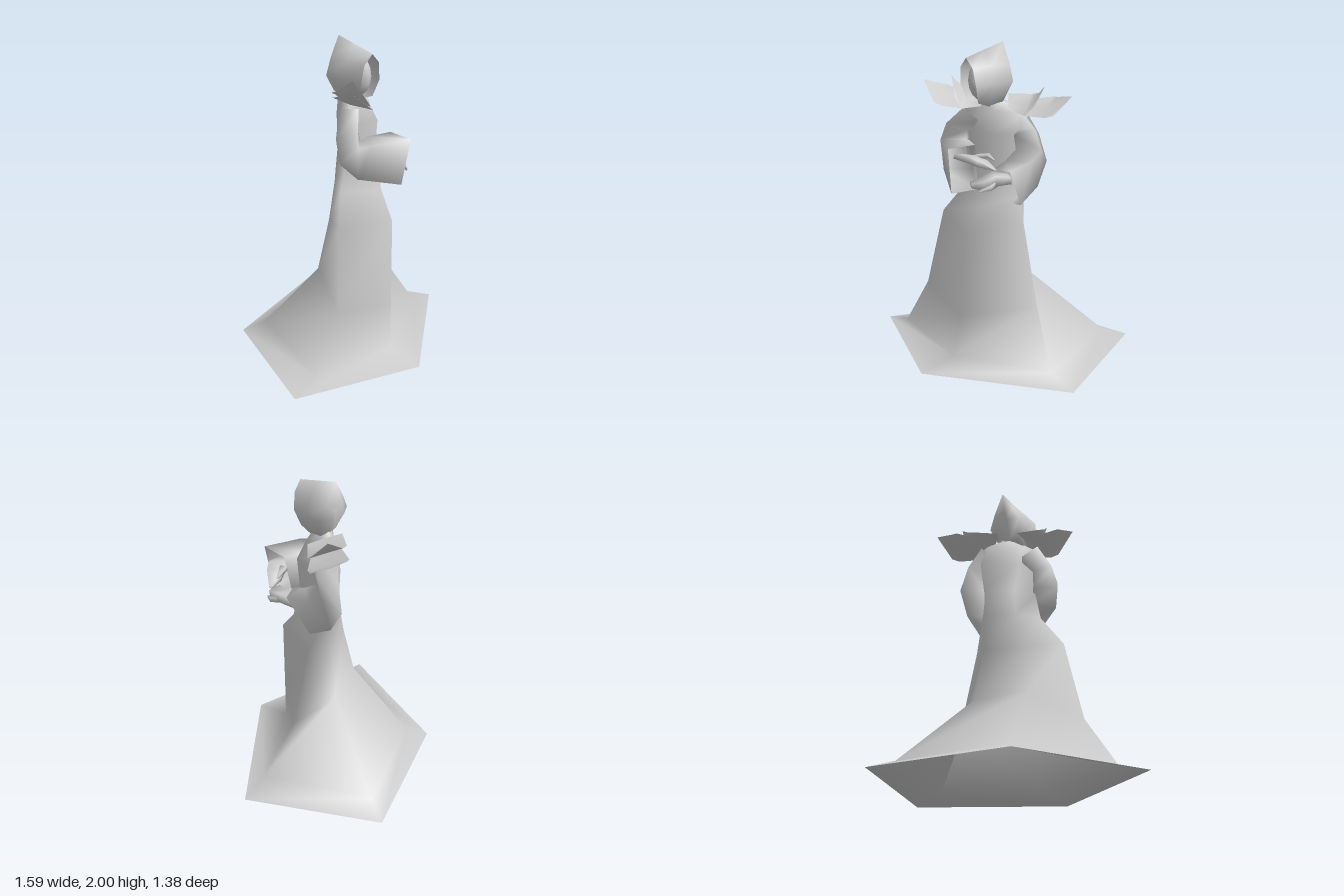
import * as THREE from 'three';

const material = new THREE.MeshStandardMaterial({ color: 0xcccccc, side: THREE.DoubleSide });

// Smooth skin over rings that all hold the same number of [x, y, z] points
function loft(name, rings, { closed = true, capEnd = false } = {}) {
  const n = rings[0].length, pos = rings.flat(2), index = [];
  for (let r = 0; r < rings.length - 1; r++) {
    for (let i = 0; i < (closed ? n : n - 1); i++) {
      const j = (i + 1) % n, a = r * n + i, b = r * n + j;
      index.push(a, b, a + n, b, b + n, a + n);
    }
  }
  if (capEnd) {
    const base = (rings.length - 1) * n;
    for (let i = 1; i < n - 1; i++) index.push(base, base + i, base + i + 1);
  }
  const g = new THREE.BufferGeometry();
  g.setAttribute('position', new THREE.Float32BufferAttribute(pos, 3));
  g.setIndex(index);
  g.computeVertexNormals();
  const mesh = new THREE.Mesh(g, material);
  mesh.name = name;
  return mesh;
}

// Four-cornered ring: centre c, half-axes u (outer side) and v (front or top side)
const quadRing = (c, u, v) => [[1, 1], [-1, 1], [-1, -1], [1, -1]]
  .map(([s, t]) => c.map((k, i) => k + s * u[i] + t * v[i]));

// Five-cornered gown, hem to neck: right, back right, back left, left, front
function gown() {
  return loft('gown', [
    [[-0.80, 0.015, 0.42], [-0.47, 0.015, -0.43], [0.40, 0.015, -0.69], [0.79, 0.015, 0.12], [0.01, 0, 0.69]],
    [[-0.60, 0.07, 0.40], [-0.36, 0.08, -0.33], [0.31, 0.07, -0.54], [0.59, 0.07, 0.13], [0.01, 0.05, 0.45]],
    [[-0.38, 0.41, 0.37], [-0.21, 0.53, 0.02], [0.12, 0.53, -0.08], [0.37, 0.41, 0.06], [0.05, 0.33, 0.41]],
    [[-0.30, 0.91, 0.29], [-0.15, 0.86, 0.06], [0.08, 0.86, -0.04], [0.22, 0.91, 0.05], [0.07, 0.88, 0.39]],
    [[-0.19, 1.09, 0.20], [-0.10, 1.10, 0.06], [0.05, 1.10, -0.08], [0.14, 1.06, 0.01], [0.11, 1.04, 0.26]],
    [[-0.15, 1.27, 0.20], [-0.08, 1.27, 0.07], [0.05, 1.27, -0.06], [0.14, 1.25, -0.02], [0.11, 1.26, 0.20]],
    [[-0.16, 1.50, 0.22], [-0.11, 1.48, 0.09], [0.06, 1.48, -0.08], [0.16, 1.47, -0.04], [0.12, 1.48, 0.21]],
    [[-0.14, 1.61, 0.22], [-0.11, 1.60, 0.12], [0.04, 1.59, -0.05], [0.14, 1.58, -0.03], [0.07, 1.61, 0.17]],
    [[-0.07, 1.66, 0.15], [-0.05, 1.66, 0.08], [0.01, 1.66, 0.05], [0.04, 1.66, 0.09], [0.01, 1.66, 0.16]],
    [[-0.07, 1.76, 0.17], [-0.05, 1.76, 0.10], [0.01, 1.76, 0.08], [0.03, 1.76, 0.12], [0.00, 1.76, 0.18]],
  ]);
}

// Wide sleeves, shoulder to open cuff
function sleeves() {
  const right = loft('rightSleeve', [
    quadRing([-0.10, 1.56, 0.18], [-0.045, 0.05, 0.045], [0.04, 0, 0.04]),
    quadRing([-0.18, 1.46, 0.24], [-0.045, 0.02, 0.045], [0.04, 0.03, 0.05]),
    quadRing([-0.18, 1.36, 0.27], [-0.06, 0, 0.05], [0.035, 0.05, 0.045]),
    quadRing([-0.12, 1.32, 0.31], [-0.05, 0, 0.07], [0.03, 0.105, 0.03]),
    quadRing([0.08, 1.29, 0.40], [-0.01, 0, 0.09], [0.015, 0.145, 0.02]),
  ]);
  const left = loft('leftSleeve', [
    quadRing([0.07, 1.53, 0.01], [0.045, 0.05, -0.045], [0.04, 0, 0.04]),
    quadRing([0.14, 1.45, -0.03], [0.04, 0.02, -0.05], [0.04, 0.03, 0.05]),
    quadRing([0.15, 1.31, -0.06], [0.05, 0, -0.065], [0.035, 0.05, 0.05]),
    quadRing([0.16, 1.21, 0.02], [0.055, 0, -0.06], [0.04, 0.10, 0.055]),
    quadRing([0.17, 1.15, 0.14], [0.055, 0, -0.02], [0.03, 0.125, 0.065]),
  ]);
  return [right, left];
}

// Flat tapering hands with a thumb
function hands() {
  const taper = (name, path, wide, thick) => loft(name,
    path.map(([x, y, z, s]) => quadRing([x, y, z], wide.map(k => k * s), thick.map(k => k * s))), { capEnd: true });
  return [
    taper('rightHand', [[0.00, 1.35, 0.38, 0.8], [0.13, 1.36, 0.37, 1.1], [0.19, 1.34, 0.34, 1], [0.27, 1.31, 0.30, 0.2]],
      [0.01, 0.01, 0.045], [0.004, 0.02, 0]),
    taper('rightThumb', [[0.11, 1.36, 0.33, 1], [0.18, 1.38, 0.29, 0.7], [0.23, 1.36, 0.28, 0.2]],
      [0.01, 0, 0.02], [0, 0.015, 0]),
    taper('leftHand', [[0.17, 1.20, 0.12, 0.8], [0.19, 1.23, 0.25, 1.1], [0.18, 1.21, 0.33, 1], [0.13, 1.20, 0.38, 0.5]],
      [0.045, 0, 0.02], [0, 0.028, 0.005]),
    taper('leftThumb', [[0.21, 1.21, 0.26, 1], [0.24, 1.20, 0.32, 0.8], [0.21, 1.18, 0.38, 0.3]],
      [0.02, 0, 0], [0, 0.018, 0]),
  ];
}

// Leaf-like shoulder mantle sloping down to the front, two overlapping plates per side
function mantle() {
  const group = new THREE.Group();
  group.name = 'mantle';
  for (const [side, label] of [[1, 'left'], [-1, 'right']]) {
    const row = pts => pts.map(([x, y, z]) => [side * x, y, z]);
    group.add(
      loft(label + 'InnerPlate', [
        row([[0.06, 0.03, -0.10], [0.07, 0.01, 0], [0.08, -0.02, 0.11]]),
        row([[0.20, 0.04, -0.11], [0.19, -0.01, 0], [0.19, -0.045, 0.12]]),
        row([[0.25, 0.06, -0.08], [0.285, 0.125, 0.01], [0.24, 0.01, 0.09]]),
      ], { closed: false }),
      loft(label + 'OuterPlate', [
        row([[0.18, 0.01, -0.08], [0.18, -0.02, 0], [0.18, -0.05, 0.10]]),
        row([[0.335, 0.04, -0.11], [0.31, -0.01, 0], [0.31, -0.04, 0.13]]),
        row([[0.36, 0.045, -0.09], [0.455, 0.08, 0], [0.36, -0.025, 0.12]]),
      ], { closed: false }),
    );
  }
  group.position.set(0, 1.65, 0.09);
  group.rotation.set(0, Math.PI / 4, -0.09);
  return group;
}

// Peaked hood, front edge to the closed back
function hood() {
  const x0 = -0.025;
  const arch = (peak, side) => [
    ...side.map(([x, y, z]) => [x0 - x, y, z]), peak, ...[...side].reverse().map(([x, y, z]) => [x0 + x, y, z])];
  return loft('hood', [
    arch([x0, 1.93, 0.295], [[0.055, 1.66, 0.25], [0.08, 1.76, 0.28], [0.062, 1.87, 0.29]]),
    arch([x0, 1.965, 0.16], [[0.06, 1.63, 0.17], [0.105, 1.77, 0.16], [0.075, 1.88, 0.16]]),
    arch([x0, 2.0, 0.02], [[0.075, 1.65, 0.08], [0.125, 1.78, 0.04], [0.08, 1.87, 0.03]]),
    arch([x0, 1.84, 0], [[0.03, 1.66, 0.06], [0.05, 1.78, 0.0], [0.035, 1.84, 0]]),
  ], { capEnd: true });
}

// Smooth oval face set inside the hood
function face() {
  const mesh = new THREE.Mesh(new THREE.SphereGeometry(1, 12, 8), material);
  mesh.name = 'face';
  mesh.scale.set(0.07, 0.13, 0.10);
  mesh.position.set(-0.025, 1.785, 0.17);
  return mesh;
}

export function createModel() {
  const model = new THREE.Group();
  model.name = 'robedFigure';
  model.add(gown(), ...sleeves(), ...hands(), mantle(), hood(), face());
  return model;
}
